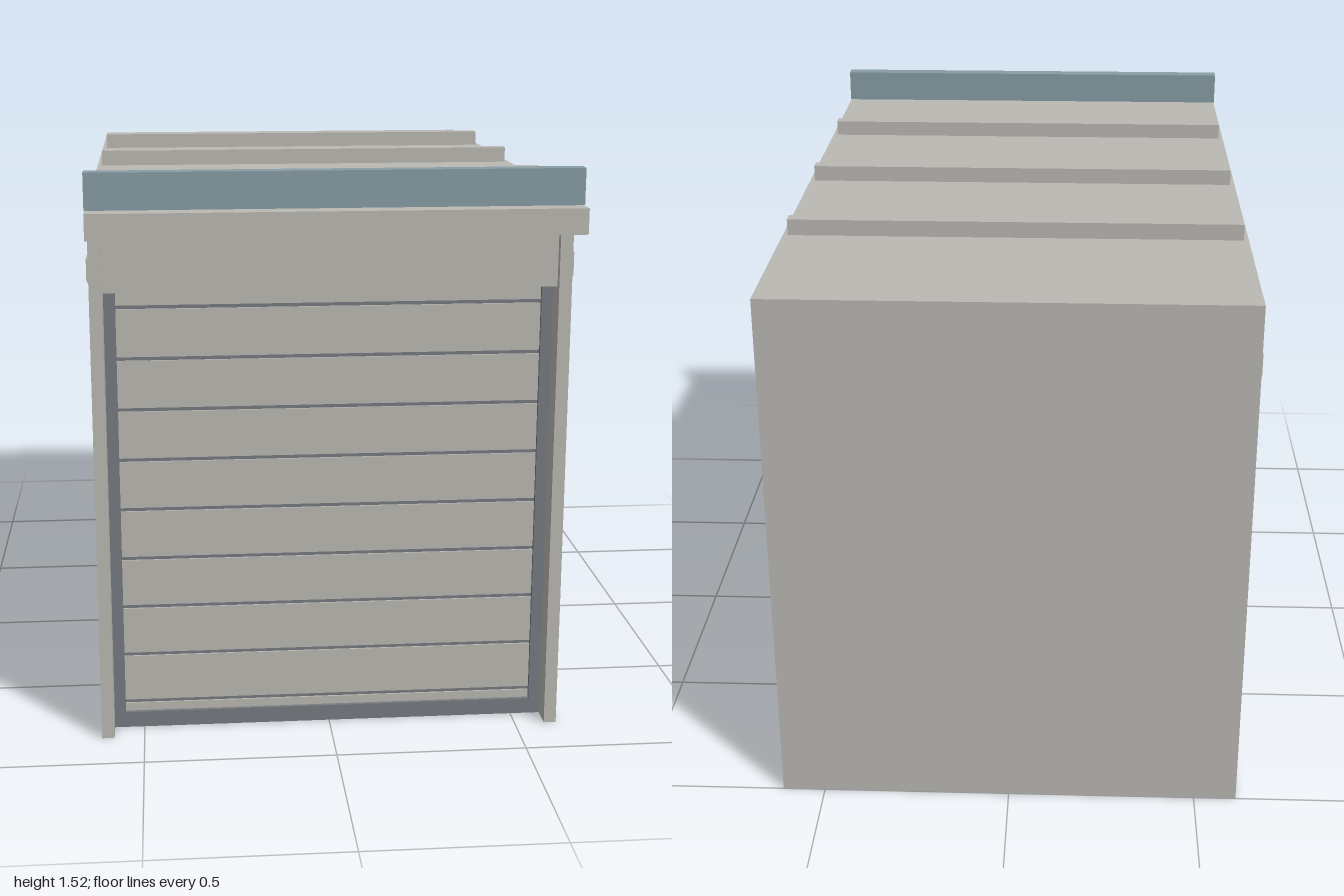
import * as THREE from 'three';

const wallGrey = new THREE.MeshStandardMaterial({ color: 0xbbb9b3 });
wallGrey.name = 'wallGrey';
const frameGrey = new THREE.MeshStandardMaterial({ color: 0x777b80 });
frameGrey.name = 'frameGrey';
const trimBlue = new THREE.MeshStandardMaterial({ color: 0x879da5 });
trimBlue.name = 'trimBlue';

export function createModel() {
  const model = new THREE.Group();
  model.name = 'garage';

  // Box given by its minimum and maximum on each axis
  function box(name, material, [x0, x1], [y0, y1], [z0, z1]) {
    const mesh = new THREE.Mesh(new THREE.BoxGeometry(x1 - x0, y1 - y0, z1 - z0), material);
    mesh.position.set((x0 + x1) / 2, (y0 + y1) / 2, (z0 + z1) / 2);
    mesh.name = name;
    model.add(mesh);
    return mesh;
  }
  // Range on x, mirrored to the other side when s = -1
  const side = (s, a, b) => (s > 0 ? [a, b] : [-b, -a]);

  const halfW = 0.613, inner = 0.58, doorHalf = 0.55;
  const roofLow = 1.36, roofTop = 1.425;

  // Hollow shell, open underneath
  box('backWall', wallGrey, [-inner, inner], [0, roofLow], [-1, -0.967]);
  box('roof', wallGrey, [-halfW, halfW], [roofLow, roofTop], [-1, 1]);
  for (const s of [1, -1]) {
    const label = s > 0 ? 'left' : 'right';
    box(label + 'Wall', wallGrey, side(s, inner, halfW), [0, roofLow], [-1, 0.85]);
    box(label + 'SideRail', wallGrey, side(s, 0.6, 0.618), [1.23, 1.29], [-0.97, 0.84]);
    box(label + 'DoorJamb', frameGrey, side(s, doorHalf, inner), [0, roofLow], [0.735, 0.785]);
  }

  // Door surround
  box('doorSill', frameGrey, [-doorHalf, doorHalf], [0, 0.043], [0.735, 0.785]);
  box('doorHeader', wallGrey, [-inner, inner], [1.2, 1.35], [0.735, 0.83]);

  // Door slats with dark joints set back between them
  const pitch = 0.1353, joint = 0.01;
  let bottom = 0.043;
  for (let i = 0; i < 9; i++) {
    const y = 0.07 + i * pitch;
    box('doorSlat' + i, wallGrey, [-doorHalf, doorHalf], [bottom, y - joint / 2], [0.745, 0.775]);
    box('doorJoint' + i, frameGrey, [-doorHalf, doorHalf], [y - joint / 2, y + joint / 2], [0.75, 0.77]);
    bottom = y + joint / 2;
  }
  box('doorSlat9', wallGrey, [-doorHalf, doorHalf], [bottom, 1.195], [0.745, 0.775]);
  box('doorTopJoint', frameGrey, [-doorHalf, doorHalf], [1.195, 1.2], [0.75, 0.77]);

  // Roof ribs and front trim board
  [-0.508, -0.018, 0.474].forEach((z, i) =>
    box('roofRib' + i, wallGrey, [-0.6, 0.6], [roofTop, 1.468], [z - 0.019, z + 0.019]));
  box('frontTrim', trimBlue, [-0.615, 0.615], [roofTop, 1.517], [0.902, 0.945]);

  return model;
}
